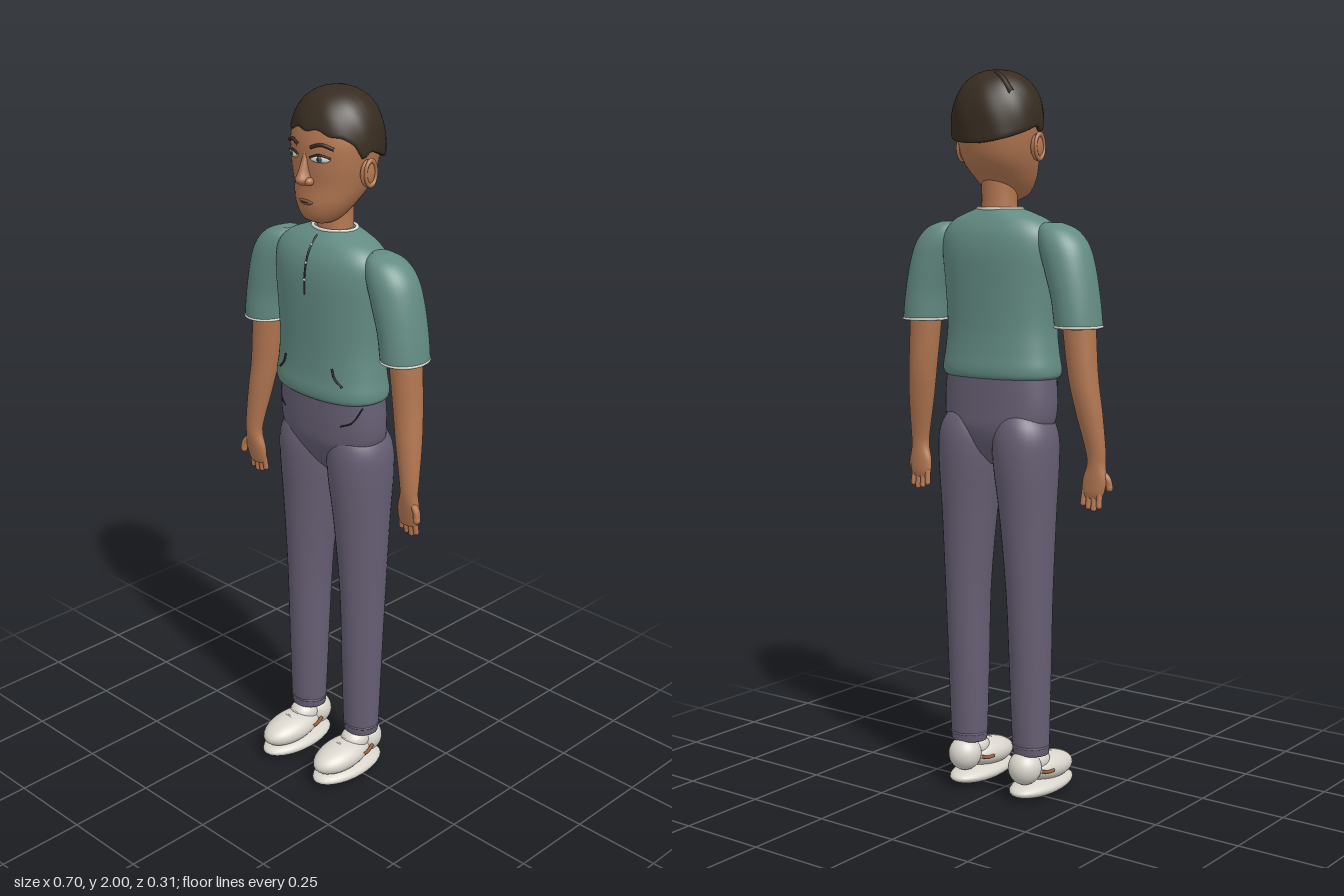
import * as THREE from 'three';

const mat = (name, color) => { const m = new THREE.MeshStandardMaterial({ color }); m.name = name; return m; };

// Smooth cross-section at t along [y, cx, cz, rx, rz] sections
function sectionAt(secs, t) {
  const last = secs.length - 1, i = Math.min(Math.floor(t), last - 1), f = t - i;
  const p = k => secs[Math.max(0, Math.min(last, k))];
  return secs[0].map((_, c) => {
    const a = p(i - 1)[c], b = p(i)[c], d = p(i + 1)[c], e = p(i + 2)[c];
    return b + 0.5 * f * (d - a + f * (2 * a - 5 * b + 4 * d - e + f * (3 * (b - d) + e - a)));
  });
}

// Closed skin through superelliptic rings, listed from bottom to top
function loft(secs, n = 2, seg = 36, sub = 5) {
  const pos = [], idx = [], rows = (secs.length - 1) * sub;
  const ring = t => {
    const [y, cx, cz, rx, rz] = sectionAt(secs, t);
    for (let j = 0; j < seg; j++) {
      const a = j / seg * Math.PI * 2, c = Math.cos(a), s = Math.sin(a);
      pos.push(cx + rx * Math.sign(c) * Math.abs(c) ** (2 / n), y, cz + rz * Math.sign(s) * Math.abs(s) ** (2 / n));
    }
  };
  for (let r = 0; r <= rows; r++) ring(r / sub);
  for (let r = 0; r < rows; r++) for (let j = 0; j < seg; j++) {
    const a = r * seg + j, b = r * seg + (j + 1) % seg;
    idx.push(a, a + seg, b, b, a + seg, b + seg);
  }
  for (const end of [0, 1]) {
    const start = pos.length / 3, s = secs[end ? secs.length - 1 : 0];
    ring(end ? secs.length - 1 : 0);
    pos.push(s[1], s[0], s[2]);
    for (let j = 0; j < seg; j++) {
      const a = start + j, b = start + (j + 1) % seg;
      idx.push(start + seg, ...(end ? [b, a] : [a, b]));
    }
  }
  const g = new THREE.BufferGeometry();
  g.setAttribute('position', new THREE.Float32BufferAttribute(pos, 3));
  g.setIndex(idx);
  g.computeVertexNormals();
  return g;
}

// Point on the front surface of a loft
function onFront(secs, x, y, n = 2, lift = 0) {
  let lo = 0, hi = secs.length - 1;
  for (let i = 0; i < 30; i++) { const m = (lo + hi) / 2; if (sectionAt(secs, m)[0] < y) lo = m; else hi = m; }
  const [, cx, cz, rx, rz] = sectionAt(secs, lo);
  return new THREE.Vector3(x, y, cz + rz * Math.max(0, 1 - Math.abs((x - cx) / rx) ** n) ** (1 / n) + lift);
}

const tube = (pts, r, closed = false) =>
  new THREE.TubeGeometry(new THREE.CatmullRomCurve3(pts, closed), closed ? 48 : 16, r, 8, closed);
const ringTube = (y, cx, cz, rx, rz, r) => tube(Array.from({ length: 16 }, (_, i) => {
  const a = -i / 8 * Math.PI;
  return new THREE.Vector3(cx + rx * Math.cos(a), y, cz + rz * Math.sin(a));
}), r, true);
const ball = (x, y, z, rx, ry, rz) => new THREE.SphereGeometry(1, 28, 18).scale(rx, ry, rz).translate(x, y, z);

// Cap of hair whose lower rim is high in front and low at the nape
function hairCap() {
  const g = new THREE.SphereGeometry(1, 72, 30), p = g.attributes.position, uv = g.attributes.uv;
  for (let i = 0; i < p.count; i++) {
    const a = uv.getX(i) * Math.PI * 2, c = Math.cos(a), s = Math.sin(a);
    const v = 1 - uv.getY(i), k = Math.min(1, v / 0.85);
    let rim = s > 0 ? 1.85 + 0.055 * s : 1.85 + 0.045 * s;
    rim -= 0.03 * Math.exp(-(((s - 0.25) / 0.13) ** 2));
    rim += 0.004 * Math.sin(a * 11) * Math.max(0, s);
    const low = Math.acos(Math.max(-0.5, (rim - 1.85) / 0.15));
    const th = k * low, h = Math.cos(th);
    let r = h > 0 ? (1 - h ** 2.3) ** (1 / 2.3) : 1 - 0.06 * h * h;
    r *= 1 + 0.008 * Math.sin(a * 9 + th * 5) * Math.sin(th);
    if (v > 0.85) r *= 1 - (v - 0.85) / 0.15 * 0.2;
    p.setXYZ(i, 0.128 * r * c, 1.85 + 0.15 * h, -0.035 + 0.121 * r * s);
  }
  // Sphere u runs opposite to this angle, so turn the faces outward
  const ix = g.index.array;
  for (let i = 0; i < ix.length; i += 3) [ix[i], ix[i + 1]] = [ix[i + 1], ix[i]];
  g.computeVertexNormals();
  return g;
}

const HEAD = [[1.655, 0, 0.015, 0.025, 0.03], [1.672, 0, 0.018, 0.052, 0.055], [1.71, 0, 0.003, 0.08, 0.081],
  [1.76, 0, -0.02, 0.101, 0.101], [1.82, 0, -0.027, 0.114, 0.112], [1.88, 0, -0.03, 0.117, 0.113],
  [1.94, 0, -0.035, 0.1, 0.098], [1.975, 0, -0.035, 0.05, 0.05]];
const TORSO = [[1.178, 0, -0.017, 0.165, 0.095], [1.187, 0, -0.017, 0.178, 0.103], [1.21, 0, -0.017, 0.18, 0.105],
  [1.25, 0, -0.017, 0.173, 0.101], [1.32, 0, -0.016, 0.166, 0.099], [1.42, 0, -0.016, 0.172, 0.102],
  [1.51, 0, -0.017, 0.18, 0.104], [1.565, 0, -0.018, 0.176, 0.096], [1.6, 0, -0.02, 0.148, 0.08],
  [1.62, 0, -0.023, 0.105, 0.065], [1.634, 0, -0.026, 0.064, 0.052]];
const HIPS = [[0.94, 0, -0.03, 0.02, 0.03], [0.98, 0, -0.03, 0.08, 0.065], [1.04, 0, -0.025, 0.155, 0.09],
  [1.1, 0, -0.022, 0.173, 0.094], [1.2, 0, -0.02, 0.166, 0.094]];
const SLEEVE = [[1.322, 0.258, -0.025, 0.06, 0.068], [1.335, 0.257, -0.025, 0.062, 0.071], [1.4, 0.248, -0.025, 0.063, 0.072],
  [1.48, 0.228, -0.024, 0.068, 0.073], [1.54, 0.208, -0.023, 0.068, 0.068], [1.58, 0.188, -0.022, 0.052, 0.052],
  [1.598, 0.172, -0.022, 0.022, 0.026]];
const ARM = [[0.868, 0.295, -0.008, 0.026, 0.01], [0.885, 0.296, -0.008, 0.034, 0.014], [0.92, 0.299, -0.005, 0.036, 0.018],
  [0.96, 0.302, -0.002, 0.027, 0.021], [1.0, 0.3, -0.004, 0.029, 0.024], [1.1, 0.286, -0.015, 0.037, 0.034],
  [1.2, 0.272, -0.024, 0.041, 0.04], [1.36, 0.257, -0.025, 0.046, 0.046]];
const LEG = [[0.14, 0.108, -0.028, 0.048, 0.045], [0.15, 0.108, -0.028, 0.053, 0.049], [0.35, 0.107, -0.03, 0.058, 0.058],
  [0.58, 0.106, -0.033, 0.063, 0.068], [0.8, 0.1, -0.033, 0.077, 0.081], [0.95, 0.094, -0.033, 0.089, 0.095],
  [1.03, 0.092, -0.032, 0.087, 0.094], [1.08, 0.089, -0.03, 0.062, 0.074], [1.1, 0.087, -0.028, 0.025, 0.035]];

export function createModel() {
  const model = new THREE.Group();
  model.name = 'standingPerson';
  const skin = mat('skin', 0xb27651), hair = mat('hair', 0x372c20), shirt = mat('shirt green', 0x638c83),
    pants = mat('trouser purple', 0x665e73), shoe = mat('shoe white', 0xd9d5cc), trim = mat('trim white', 0xdedcd4),
    dark = mat('seam dark', 0x25292b), lip = mat('lip', 0x8a5341), iris = mat('iris', 0x5b6a66), accent = mat('shoe accent', 0x9a5a38);
  const add = (name, geo, m, parent = model) => {
    const mesh = new THREE.Mesh(geo, m);
    mesh.name = name;
    parent.add(mesh);
    return mesh;
  };

  // Head, neck and hair
  add('head', loft(HEAD, 2.1), skin);
  add('neck', loft([[1.58, 0, -0.028, 0.056, 0.05], [1.65, 0, -0.028, 0.049, 0.047], [1.74, 0, -0.028, 0.05, 0.05]]), skin);
  add('hair', hairCap(), hair);
  const V = (x, y, z) => new THREE.Vector3(x, y, z);
  add('hairLock', tube([V(-0.094, 1.935, -0.1), V(-0.04, 1.983, -0.083), V(0.02, 1.986, -0.05), V(0.082, 1.955, -0.02)], 0.008), hair);
  // Nose and mouth
  add('noseBridge', loft([[1.765, 0, 0.083, 0.016, 0.018], [1.778, 0, 0.085, 0.02, 0.028], [1.8, 0, 0.08, 0.014, 0.024],
    [1.84, 0, 0.074, 0.009, 0.014], [1.86, 0, 0.073, 0.006, 0.008]], 2, 20), skin);
  add('lips', ball(0, 1.718, 0.079, 0.025, 0.009, 0.008), lip);
  add('mouthLine', tube([V(-0.024, 1.719, 0.08), V(0, 1.718, 0.088), V(0.024, 1.719, 0.08)], 0.0013), dark);

  // Shirt body and its seams
  add('shirtBody', loft(TORSO, 2.3, 56), shirt);
  add('collar', ringTube(1.633, 0, -0.026, 0.064, 0.052, 0.005), trim);
  add('frontPlacket', tube([1.622, 1.58, 1.53, 1.47].map(y => onFront(TORSO, 0, y, 2.3, 0.001)), 0.0025), dark);
  for (let i = 0; i < 3; i++)
    add('button', ball(0, 1.6 - i * 0.045, onFront(TORSO, 0, 1.6 - i * 0.045, 2.3, 0.002).z, 0.004, 0.004, 0.003), trim);

  // Trouser hips
  add('trouserHips', loft(HIPS, 2.3, 56), pants);

  for (const side of [1, -1]) {
    // Mirrored half: built on +x, then reflected
    const half = new THREE.Group();
    half.name = side > 0 ? 'leftSide' : 'rightSide';
    half.scale.x = side;
    model.add(half);
    const put = (name, geo, m) => add(name, geo, m, half);

    // Eye, brow, nostril and ear
    const e = onFront(HEAD, 0.048, 1.836, 2.1);
    put('eye', new THREE.SphereGeometry(1, 24, 14).scale(0.027, 0.0095, 0.006).rotateY(0.4).translate(e.x, e.y, e.z), trim);
    put('iris', ball(0.047, 1.836, e.z + 0.004, 0.009, 0.009, 0.004), iris);
    put('pupil', ball(0.047, 1.836, e.z + 0.0065, 0.0045, 0.0045, 0.003), dark);
    put('upperLid', tube([[0.021, 1.838], [0.046, 1.847], [0.074, 1.839]].map(q => onFront(HEAD, ...q, 2.1, 0.003)), 0.003), hair);
    put('eyebrow', tube([[0.022, 1.864], [0.05, 1.873], [0.08, 1.863]].map(q => onFront(HEAD, ...q, 2.1, 0.002)), 0.0045), hair);
    put('nostril', ball(0.018, 1.775, 0.087, 0.012, 0.011, 0.013), skin);
    put('ear', ball(0.12, 1.795, -0.022, 0.013, 0.036, 0.024), skin);
    put('earRim', new THREE.TorusGeometry(0.023, 0.005, 8, 24).scale(0.85, 1.4, 1).rotateY(Math.PI / 2).translate(0.13, 1.797, -0.024), skin);

    // Sleeve, arm and hand
    put('sleeve', loft(SLEEVE), shirt);
    put('sleeveTrim', ringTube(1.327, 0.2575, -0.025, 0.06, 0.069, 0.004), trim);
    put('arm', loft(ARM), skin);
    [0.032, 0.04, 0.044, 0.036].forEach((len, i) => {
      const x = 0.269 + i * 0.0165, out = (i - 1.5) * 0.002;
      put('finger', new THREE.CapsuleGeometry(0.008, len, 4, 12).rotateX(0.13).rotateZ(out * 20).translate(x, 0.885 - len / 2, -0.012), skin);
    });
    put('thumb', tube([V(0.318, 0.94, 0), V(0.335, 0.92, 0.004), V(0.339, 0.9, 0.006)], 0.01), skin);
    put('thumbTip', ball(0.339, 0.899, 0.006, 0.01, 0.012, 0.01), skin);

    // Pocket seams
    put('shirtPocketSeam', tube([[0.087, 1.28], [0.095, 1.255], [0.118, 1.232]].map(q => onFront(TORSO, ...q, 2.3, 0.001)), 0.003), dark);
    put('trouserPocketSeam', tube([[0.105, 1.115], [0.135, 1.13], [0.155, 1.172]].map(q => onFront(HIPS, ...q, 2.3, 0.001)), 0.002), dark);

    // Trouser leg and hem
    put('trouserLeg', loft(LEG), pants);
    put('trouserHem', ringTube(0.155, 0.108, -0.028, 0.051, 0.047, 0.004), pants);

    // Shoe
    put('shoeSole', ball(0.105, 0.027, 0.027, 0.063, 0.027, 0.128), shoe);
    put('shoeUpper', new THREE.SphereGeometry(1, 32, 20).scale(0.058, 0.04, 0.102).rotateX(0.08).translate(0.105, 0.075, 0.05), shoe);
    put('shoeHeel', ball(0.105, 0.093, -0.053, 0.047, 0.048, 0.047), shoe);
    put('shoeTongue', ball(0.106, 0.104, -0.005, 0.04, 0.034, 0.045), shoe);
    for (const s of [-1, 1])
      put('shoeStripe', tube([V(0.105 + s * 0.054, 0.078, 0.012), V(0.105 + s * 0.05, 0.078, -0.012), V(0.105 + s * 0.044, 0.085, -0.034)], 0.005), accent);
    for (const z of [0.035, 0.06])
      put('shoeLace', tube([V(0.078, 0.106, z), V(0.105, 0.1155 - (z - 0.035) * 0.1, z), V(0.132, 0.106, z)], 0.003), trim);
  }
  return model;
}
